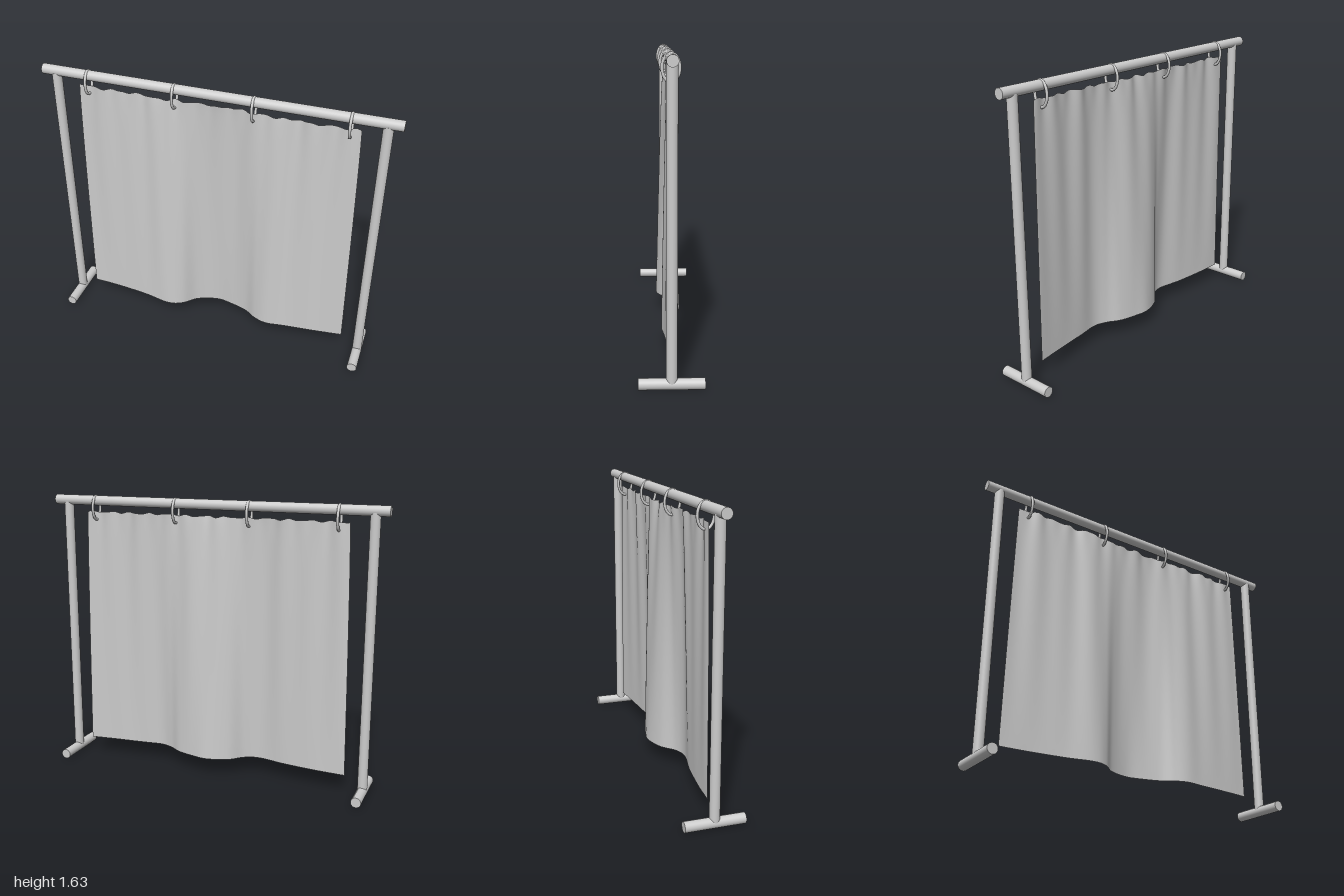
import * as THREE from 'three';

const material = new THREE.MeshStandardMaterial({ color: 0xcccccc });
const clothMaterial = new THREE.MeshStandardMaterial({ color: 0xcccccc, side: THREE.DoubleSide });

function bar(name, radius, length, x, y) {
  const mesh = new THREE.Mesh(new THREE.CylinderGeometry(radius, radius, length, 32), material);
  mesh.name = name;
  mesh.position.set(x, y, 0);
  return mesh;
}

// Oval ring hanging over the rail, lying in the yz plane
class Oval extends THREE.Curve {
  getPoint(t, target = new THREE.Vector3()) {
    const a = t * Math.PI * 2;
    return target.set(0, 0.068 * Math.cos(a), 0.043 * Math.sin(a));
  }
}

// Big folds at the hem, and finer pleats that show higher up
const hem = new THREE.SplineCurve([
  [-0.82, 0], [-0.65, 0.008], [-0.45, 0.03], [-0.29, 0.06], [-0.2, 0.035], [-0.12, -0.035],
  [0, -0.074], [0.1, -0.06], [0.2, -0.03], [0.27, 0.015], [0.35, 0.04], [0.47, 0.027],
  [0.65, 0.01], [0.82, -0.01],
].map(([x, z]) => new THREE.Vector2(x, z)));
const hemPoints = hem.getPoints(400);

function hemDepth(x) {
  let i = 1;
  while (i < hemPoints.length - 1 && hemPoints[i].x < x) i++;
  const a = hemPoints[i - 1], b = hemPoints[i];
  return THREE.MathUtils.lerp(a.y, b.y, THREE.MathUtils.clamp((x - a.x) / (b.x - a.x), 0, 1));
}

function curtain() {
  const geometry = new THREE.PlaneGeometry(2, 1, 160, 60);
  const p = geometry.attributes.position;
  for (let i = 0; i < p.count; i++) {
    const u = p.getX(i);           // -1 .. 1 across
    const d = 0.5 - p.getY(i);     // 0 at top .. 1 at hem
    const side = THREE.MathUtils.lerp(0.79, 0.815, Math.pow(d, 0.7));
    const x = u * side;
    const topEdge = 1.535 + 0.004 * Math.sin(x * 52) + 0.002 * Math.sin(x * 83 + 1);
    const y = THREE.MathUtils.lerp(topEdge, 0.106, d);
    const pleat = 0.006 * Math.sin(x * 36 + 0.6) + 0.004 * Math.sin(x * 21 + 2);
    const ripple = 0.004 * Math.sin(x * 64) * Math.exp(-d * 14);
    const z = hemDepth(x) * (0.12 + 0.88 * Math.pow(d, 0.8))
      + pleat * Math.pow(1 - d, 0.8) + ripple;
    p.setXYZ(i, x, y, z);
  }
  geometry.computeVertexNormals();
  const mesh = new THREE.Mesh(geometry, clothMaterial);
  mesh.name = 'curtain';
  return mesh;
}

export function createModel() {
  const model = new THREE.Group();
  model.name = 'curtainStand';

  // Top rail
  const rail = bar('topRail', 0.029, 2, 0, 1.6);
  rail.rotation.z = Math.PI / 2;
  model.add(rail);

  // Posts on round feet
  for (const [label, x] of [['left', 0.92], ['right', -0.92]]) {
    model.add(bar(label + 'Post', 0.028, 1.56, x, 0.81));
    const foot = bar(label + 'Foot', 0.029, 0.33, x, 0.029);
    foot.rotation.x = Math.PI / 2;
    model.add(foot);
  }

  // Rings
  const ringGeometry = new THREE.TubeGeometry(new Oval(), 48, 0.008, 10, true);
  for (const x of [-0.73, -0.224, 0.22, 0.735]) {
    const ring = new THREE.Mesh(ringGeometry, material);
    ring.name = 'ring';
    ring.position.set(x, 1.557, 0);
    model.add(ring);
  }

  model.add(curtain());
  return model;
}
